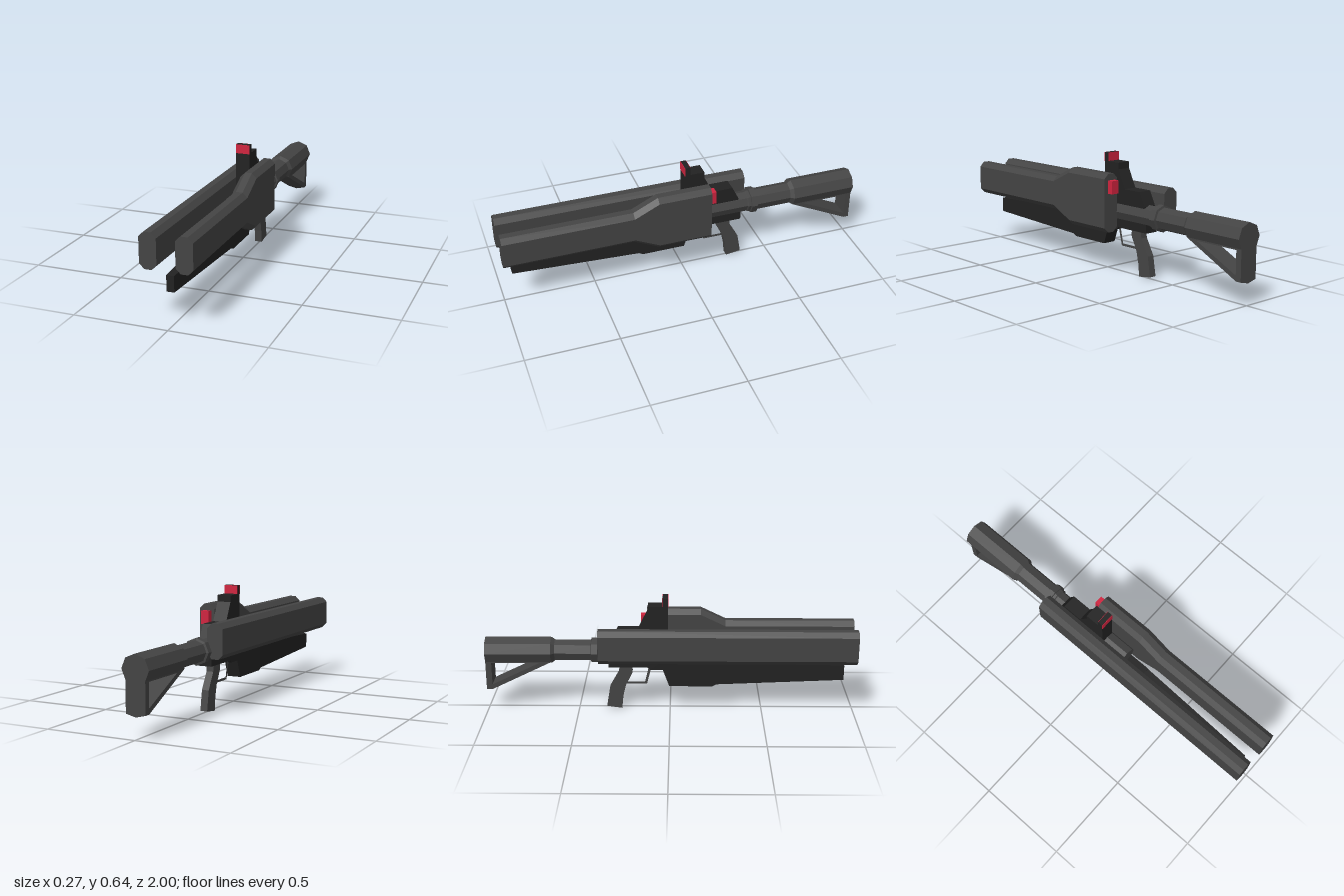
import * as THREE from 'three';

const CX = -0.007; // centre line of the body
const CY = 0.335; // axis height of the stock tube

const colour = (name, hex) => {
  const m = new THREE.MeshStandardMaterial({ color: hex });
  m.name = name;
  return m;
};

// Faceted normals for every face
function faceted(geo) {
  const g = geo.index ? geo.toNonIndexed() : geo;
  g.computeVertexNormals();
  return g;
}

// Octagonal outline with cut corners, anticlockwise seen from the front
function octagon(x0, x1, y0, y1, c, z) {
  return [[x0 + c, y0], [x1 - c, y0], [x1, y0 + c], [x1, y1 - c],
    [x1 - c, y1], [x0 + c, y1], [x0, y1 - c], [x0, y0 + c]].map(([x, y]) => [x, y, z]);
}

const rectangle = (x0, x1, y0, y1, z) => [[x0, y0, z], [x1, y0, z], [x1, y1, z], [x0, y1, z]];

// Skin over rings ordered front to back, capped at both ends
function loft(rings) {
  const n = rings[0].length;
  const index = [];
  for (let r = 0; r < rings.length - 1; r++) {
    for (let i = 0; i < n; i++) {
      const a = r * n + i, b = r * n + (i + 1) % n;
      index.push(a, a + n, b, b, a + n, b + n);
    }
  }
  const last = (rings.length - 1) * n;
  for (let i = 1; i < n - 1; i++) {
    index.push(0, i, i + 1, last, last + i + 1, last + i);
  }
  const g = new THREE.BufferGeometry();
  g.setAttribute('position', new THREE.Float32BufferAttribute(rings.flat(2), 3));
  g.setIndex(index);
  return faceted(g);
}

// Side outline given as [z, y], extruded across x about the centre line
function sideExtrude(outline, width, hole, steps = 1) {
  const pts = (list) => list.map(([z, y]) => new THREE.Vector2(z, y));
  const shape = new THREE.Shape(pts(outline));
  if (hole) shape.holes.push(new THREE.Path(pts(hole)));
  const g = new THREE.ExtrudeGeometry(shape, { depth: width, bevelEnabled: false, steps });
  g.translate(0, 0, -width / 2).rotateY(-Math.PI / 2);
  return g.translate(CX, 0, 0);
}

// Eight-sided turned part along z, profile as [radius, z] from front to back
function turned(profile) {
  const g = new THREE.LatheGeometry(profile.map(([r, z]) => new THREE.Vector2(r, -z)), 8);
  return faceted(g.rotateX(-Math.PI / 2).translate(CX, CY, 0));
}

export function createModel() {
  const model = new THREE.Group();
  model.name = 'launcher';
  const grey = colour('gunmetal grey', 0x444444);
  const dark = colour('dark steel', 0x222222);
  const red = colour('signal red', 0xd0243f);

  const add = (name, geo, mat) => {
    const mesh = new THREE.Mesh(geo, mat);
    mesh.name = name;
    model.add(mesh);
    return mesh;
  };
  const box = (name, x0, x1, y0, y1, z0, z1, mat) => {
    const g = new THREE.BoxGeometry(x1 - x0, y1 - y0, z1 - z0);
    add(name, g.translate((x0 + x1) / 2, (y0 + y1) / 2, (z0 + z1) / 2), mat);
  };

  // Long side rails; the left one swells towards the back
  add('rightRail', loft([1, -0.385].map((z) => octagon(-0.138, -0.049, 0.295, 0.48, 0.026, z))), grey);
  add('leftRail', loft([[1, 0], [0.3, 0], [0.165, 0.065], [-0.127, 0.065]].map(
    ([z, e]) => octagon(0.047, 0.136, 0.295 - e, 0.48 + e, 0.026, z))), grey);
  box('railButton', 0.066, 0.112, 0.44, 0.51, -0.16, -0.125, red);

  // Receiver, collar, tube and shoulder stock in one turned line
  add('receiverAndStock', turned([
    [0, 0.13], [0.057, 0.13], [0.057, -0.37], [0.063, -0.375], [0.063, -0.39],
    [0.072, -0.392], [0.072, -0.425], [0.06, -0.428], [0.06, -0.625],
    [0.075, -0.645], [0.075, -1], [0, -1],
  ]), grey);

  // Open triangular brace below the stock, with a keeled underside
  const brace = sideExtrude(
    [[-0.64, 0.285], [-0.97, 0.123], [-1, 0.123], [-1, 0.3], [-0.64, 0.3]], 0.108,
    [[-0.71, 0.277], [-0.968, 0.277], [-0.968, 0.152]], 2);
  const p = brace.attributes.position;
  for (let i = 0; i < p.count; i++) {
    const z = p.getZ(i);
    const edge = z > -0.97 ? 0.123 + (z + 0.97) * 0.491 : 0.123;
    if (Math.abs(p.getX(i) - CX) < 0.001 && p.getY(i) < edge + 0.004) p.setY(i, p.getY(i) - 0.013);
  }
  add('stockBrace', faceted(brace), grey);

  // Tapered lower barrel and its housing
  add('lowerBarrel', loft([
    rectangle(-0.027, 0.013, 0.173, 0.256, 0.945),
    rectangle(-0.045, 0.031, 0.15, 0.288, 0.23),
  ]), dark);
  add('barrelHousing', sideExtrude(
    [[0.25, 0.15], [0.23, 0.139], [-0.005, 0.139], [-0.04, 0.235], [-0.04, 0.29], [0.25, 0.29]], 0.077), dark);
  add('lowerReceiver', sideExtrude(
    [[0, 0.235], [-0.11, 0.235], [-0.12, 0.247], [-0.335, 0.247], [-0.335, 0.31], [0, 0.31]], 0.077), dark);

  // Sight mount on top, with red plates on both faces of the post
  add('sightMount', sideExtrude([
    [-0.012, 0.34], [-0.32, 0.34], [-0.32, 0.385], [-0.283, 0.46], [-0.17, 0.46],
    [-0.12, 0.56], [-0.12, 0.595], [-0.04, 0.595], [-0.04, 0.641], [-0.012, 0.641],
  ], 0.077), dark);
  box('sightPlateFront', -0.0455, 0.0315, 0.592, 0.641, -0.012, -0.01, red);
  box('sightPlateBack', -0.0455, 0.0315, 0.596, 0.641, -0.042, -0.04, red);

  // Pistol grip
  add('pistolGrip', sideExtrude([
    [-0.206, 0.26], [-0.206, 0.21], [-0.243, 0.135], [-0.258, 0.07], [-0.265, 0],
    [-0.348, 0.012], [-0.33, 0.12], [-0.28, 0.21], [-0.275, 0.26],
  ], 0.04), grey);

  // Trigger guard
  add('triggerGuard', sideExtrude(
    [[-0.1, 0.25], [-0.127, 0.145], [-0.245, 0.145], [-0.225, 0.25]], 0.036,
    [[-0.118, 0.24], [-0.137, 0.158], [-0.232, 0.158], [-0.212, 0.24]]), grey);

  return model;
}
